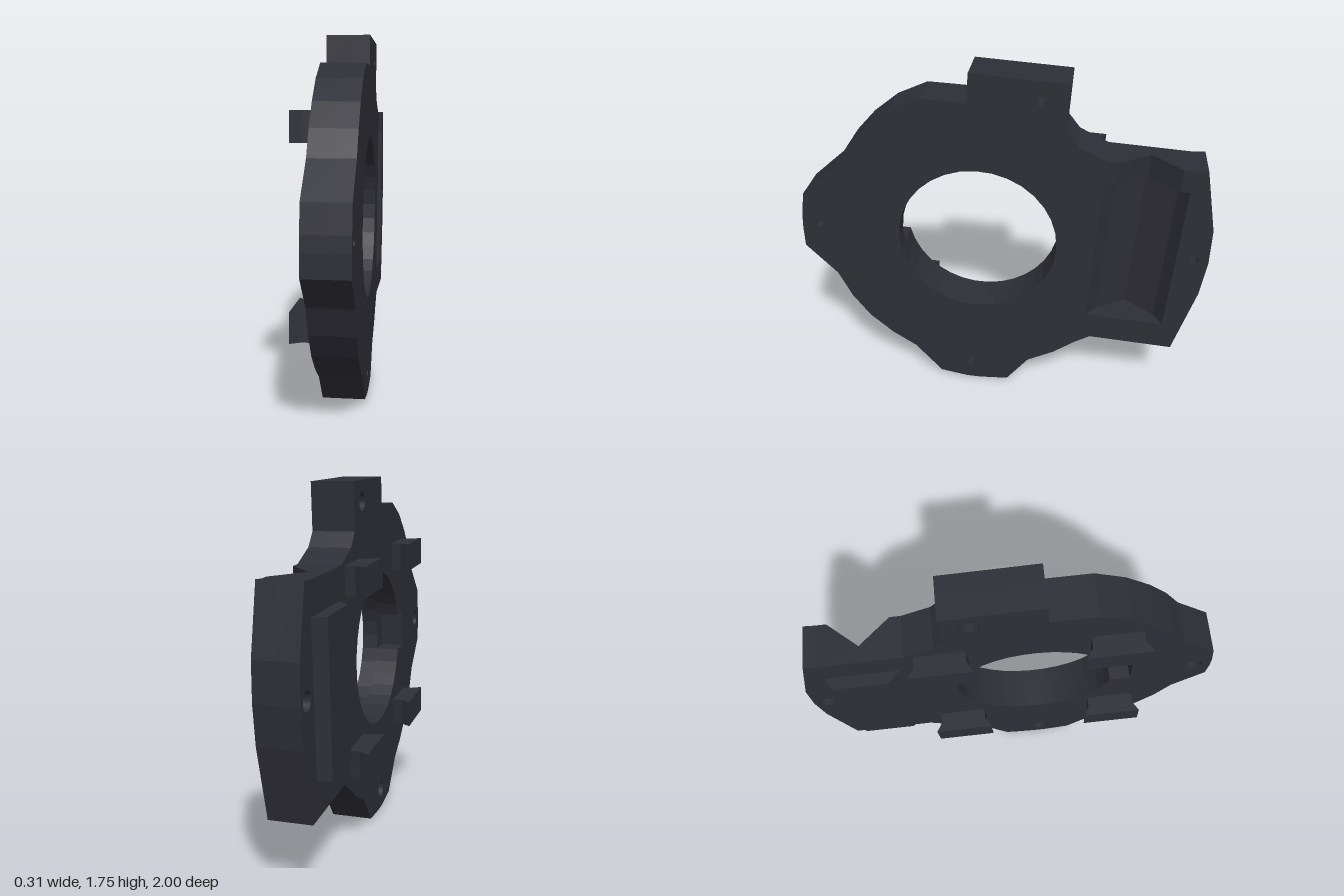
import * as THREE from 'three';

const BACK = -0.055, FRONT = 0.15, STEP = 0.065; // plate faces and the layer between
const TILT = 0.066;                              // whole part leans slightly about x
const BORE = [-0.12, 0.885];                     // bore centre as (u, v), u = -z, v = y

const v2 = (p) => new THREE.Vector2(p[0], p[1]);

// Point given along the leaning axes from an origin in (u, v)
function lean([u, v], s, w) {
  const c = Math.cos(TILT), n = Math.sin(TILT);
  return [u + s * c + w * n, v - s * n + w * c];
}

export function createModel() {
  const model = new THREE.Group();
  model.name = 'mountingPlate';
  const dark = new THREE.MeshStandardMaterial({ color: 0x2e2e37, flatShading: true });
  dark.name = 'darkPlastic';

  const add = (geometry, name) => {
    const mesh = new THREE.Mesh(geometry, dark);
    mesh.name = name;
    model.add(mesh);
  };

  // Prism with an (x, s) section, extruded along the leaning up axis
  const prism = (section, length, origin, name) => {
    const g = new THREE.ExtrudeGeometry(new THREE.Shape(section.map(v2)), { depth: length, bevelEnabled: false });
    const c = Math.cos(TILT), n = Math.sin(TILT);
    const m = new THREE.Matrix4().makeBasis(
      new THREE.Vector3(1, 0, 0), new THREE.Vector3(0, -n, -c), new THREE.Vector3(0, c, -n));
    m.setPosition(0, origin[1], -origin[0]);
    add(g.applyMatrix4(m), name);
  };

  // Plate outline, with the cradle recess cut in from the top of the wide arm
  const pocket = [0.43, 0.485], pocketWidth = 0.39, pocketHeight = 0.77, fullHeight = 0.88;
  const outline = [
    [-0.145, 1.755], [-0.155, 1.615], [-0.37, 1.625], [-0.515, 1.56], [-0.635, 1.465],
    [-0.73, 1.36], [-0.805, 1.245], [-0.975, 1.095], [-0.995, 0.97], [-1, 0.9], [-1, 0.795],
    [-0.85, 0.635], [-0.785, 0.495], [-0.7, 0.375], [-0.585, 0.27], [-0.465, 0.19],
    [-0.33, 0.03], [-0.19, 0.003], [-0.12, 0], [-0.02, 0.005], [0.03, 0.01], [0.14, 0.15],
    [0.275, 0.22], [0.385, 0.3], [0.46, 0.345], [0.875, 0.315], [0.975, 0.665],
    [1, 0.85], [1, 1.03], [0.94, 1.34],
    lean(pocket, pocketWidth, fullHeight), lean(pocket, pocketWidth, 0), pocket, lean(pocket, 0, fullHeight),
    [0.35, 1.43], [0.295, 1.5], [0.31, 1.725],
  ];
  const screws = [[0.18, 1.635], [-0.91, 0.93], [0.93, 0.86], [-0.165, 0.105]];

  // One layer of the plate; the back layer has a notched bore and counterbores
  const layer = (x0, x1, screwRadius, notched, name) => {
    const shape = new THREE.Shape(outline.map(v2));
    const bore = new THREE.Path();
    if (notched) {
      const a = 0.26, mid = Math.PI - TILT;
      bore.absarc(BORE[0], BORE[1], 0.39, mid + a, mid - a + Math.PI * 2, false);
      bore.lineTo(...lean(BORE, -0.48, 0.1));
      bore.lineTo(...lean(BORE, -0.48, -0.1));
      bore.closePath();
    } else {
      bore.absarc(BORE[0], BORE[1], 0.39, 0, Math.PI * 2, false);
    }
    shape.holes.push(bore);
    for (const [u, v] of screws) {
      shape.holes.push(new THREE.Path().absarc(u, v, screwRadius, 0, Math.PI * 2, false));
    }
    const g = new THREE.ExtrudeGeometry(shape, { depth: x1 - x0, bevelEnabled: false, curveSegments: 16 });
    g.translate(0, 0, x0).rotateY(Math.PI / 2);
    add(g, name);
  };
  layer(BACK, STEP, 0.045, true, 'plateBack');
  layer(STEP, FRONT, 0.023, false, 'plateFront');

  // V-shaped cradle and the shallower channel leading out of its top
  prism([[BACK, 0], [FRONT, 0], [0.08, 0.05], [-0.02, 0.2], [0.08, 0.345], [FRONT, pocketWidth], [BACK, pocketWidth]],
    pocketHeight, pocket, 'cradle');
  prism([[BACK, 0], [FRONT, 0], [FRONT, 0.055], [0.025, 0.2], [FRONT, 0.345], [FRONT, pocketWidth], [BACK, pocketWidth]],
    fullHeight - pocketHeight, lean(pocket, 0, pocketHeight), 'cradleChannel');

  // Raised housing behind the cradle
  prism([[BACK + 0.01, 0.04], [BACK + 0.01, 0.395], [BACK, 0.395], [-0.115, 0.367], [-0.115, 0.11], [BACK, 0.04]],
    0.7, lean(pocket, 0, 0.03), 'cradleHousing');

  // Four flared lugs on the back
  for (const s of [-0.4, 0.4]) {
    for (const w of [-0.435, 0.435]) {
      const origin = lean([-0.105, 0.888], s, w - 0.07);
      prism([[BACK + 0.01, -0.118], [BACK + 0.01, 0.118], [-0.105, 0.118], [-0.155, 0.148], [-0.155, -0.148], [-0.105, -0.118]],
        0.14, origin, 'lug');
    }
  }
  return model;
}
